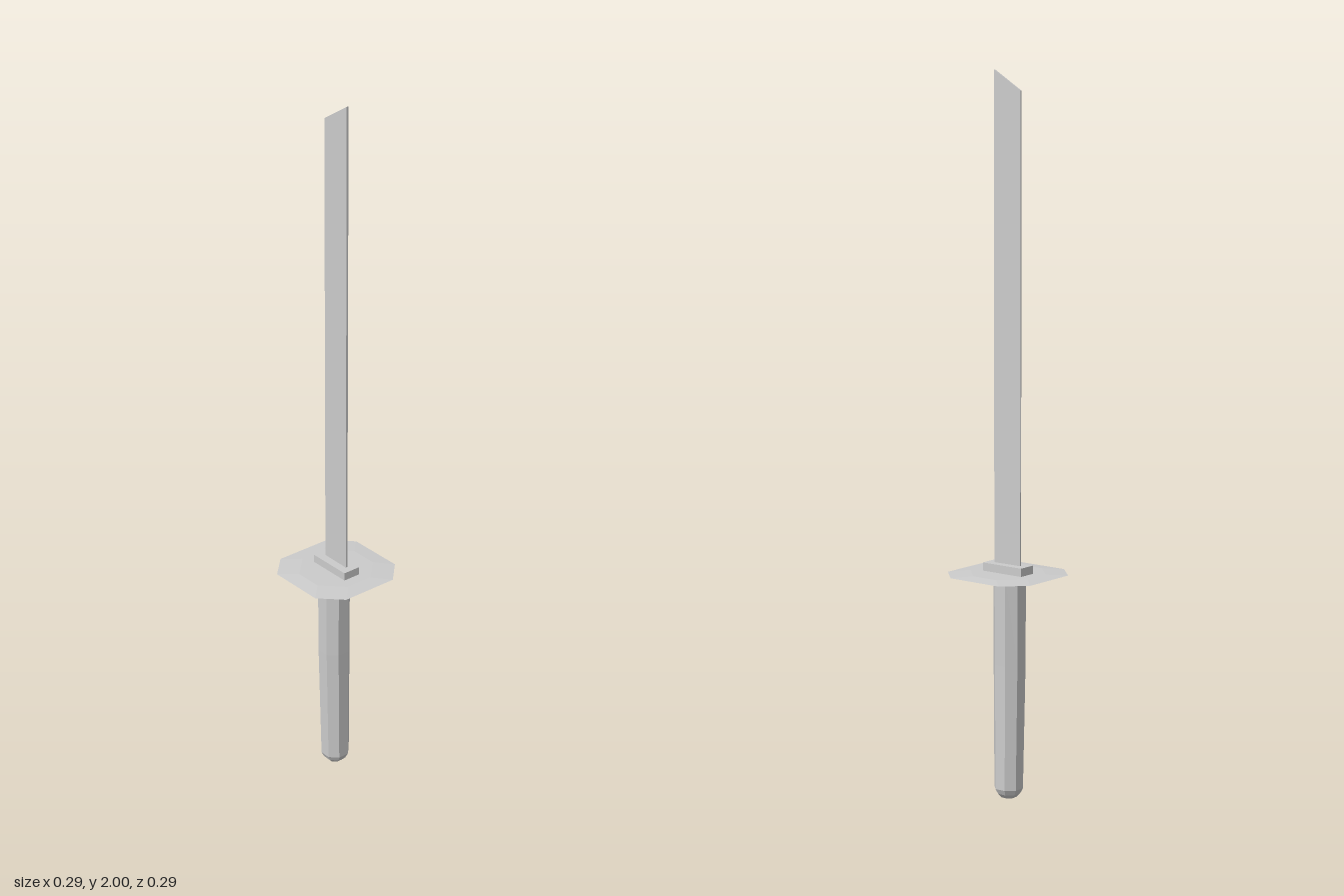
import * as THREE from 'three';

const material = new THREE.MeshStandardMaterial({ color: 0xcccccc, flatShading: true });

// Closed solid through rings of [x, y, z] points, listed from bottom to top.
function loft(name, rings) {
  const positions = [];
  const tri = (...corners) => corners.forEach((p) => positions.push(...p));
  const n = rings[0].length;
  for (let i = 0; i < rings.length - 1; i++) {
    for (let j = 0; j < n; j++) {
      const k = (j + 1) % n;
      tri(rings[i][j], rings[i + 1][j], rings[i + 1][k]);
      tri(rings[i][j], rings[i + 1][k], rings[i][k]);
    }
  }
  const bottom = rings[0];
  const top = rings[rings.length - 1];
  for (let j = 1; j < n - 1; j++) {
    tri(bottom[0], bottom[j], bottom[j + 1]);
    tri(top[0], top[j + 1], top[j]);
  }
  const geometry = new THREE.BufferGeometry();
  geometry.setAttribute('position', new THREE.Float32BufferAttribute(positions, 3));
  geometry.computeVertexNormals();
  const mesh = new THREE.Mesh(geometry, material);
  mesh.name = name;
  return mesh;
}

// Eight-sided ring: r is the distance to a flat side, c half its length.
function octagon(y, r, c, x = 0) {
  return [[r, -c], [r, c], [c, r], [-c, r], [-r, c], [-r, -c], [-c, -r], [c, -r]]
    .map(([px, pz]) => [px + x, y, pz]);
}

export function createModel() {
  const sword = new THREE.Group();
  sword.name = 'sword';

  // Grip, slightly tapered and leaning, with a bevelled pommel below
  sword.add(loft('grip', [
    octagon(0.027, 0.038, 0.016, -0.004),
    octagon(0.38, 0.042, 0.018, -0.008),
    octagon(0.634, 0.043, 0.018, -0.008),
  ]));
  sword.add(loft('pommel', [
    octagon(0, 0.02, 0.009, -0.004),
    octagon(0.012, 0.031, 0.013, -0.004),
    octagon(0.027, 0.038, 0.016, -0.004),
  ]));

  // Thin guard with a sharp rim
  sword.add(loft('guard', [
    octagon(0.631, 0.1, 0.04),
    octagon(0.634, 0.144, 0.084),
    octagon(0.638, 0.1, 0.04),
  ]));

  // Collar at the foot of the blade
  const collar = new THREE.Mesh(new THREE.BoxGeometry(0.052, 0.026, 0.134), material);
  collar.name = 'collar';
  collar.position.y = 0.648;
  sword.add(collar);

  // Blade: thick spine at +z, narrow edge at -z, slanted tip
  const bladeRing = (yBack, yFront) => [
    [0.002, yBack, -0.045], [0.003, yFront, 0.045],
    [-0.003, yFront, 0.045], [-0.002, yBack, -0.045],
  ];
  sword.add(loft('blade', [bladeRing(0.65, 0.65), bladeRing(1.945, 2)]));

  return sword;
}
